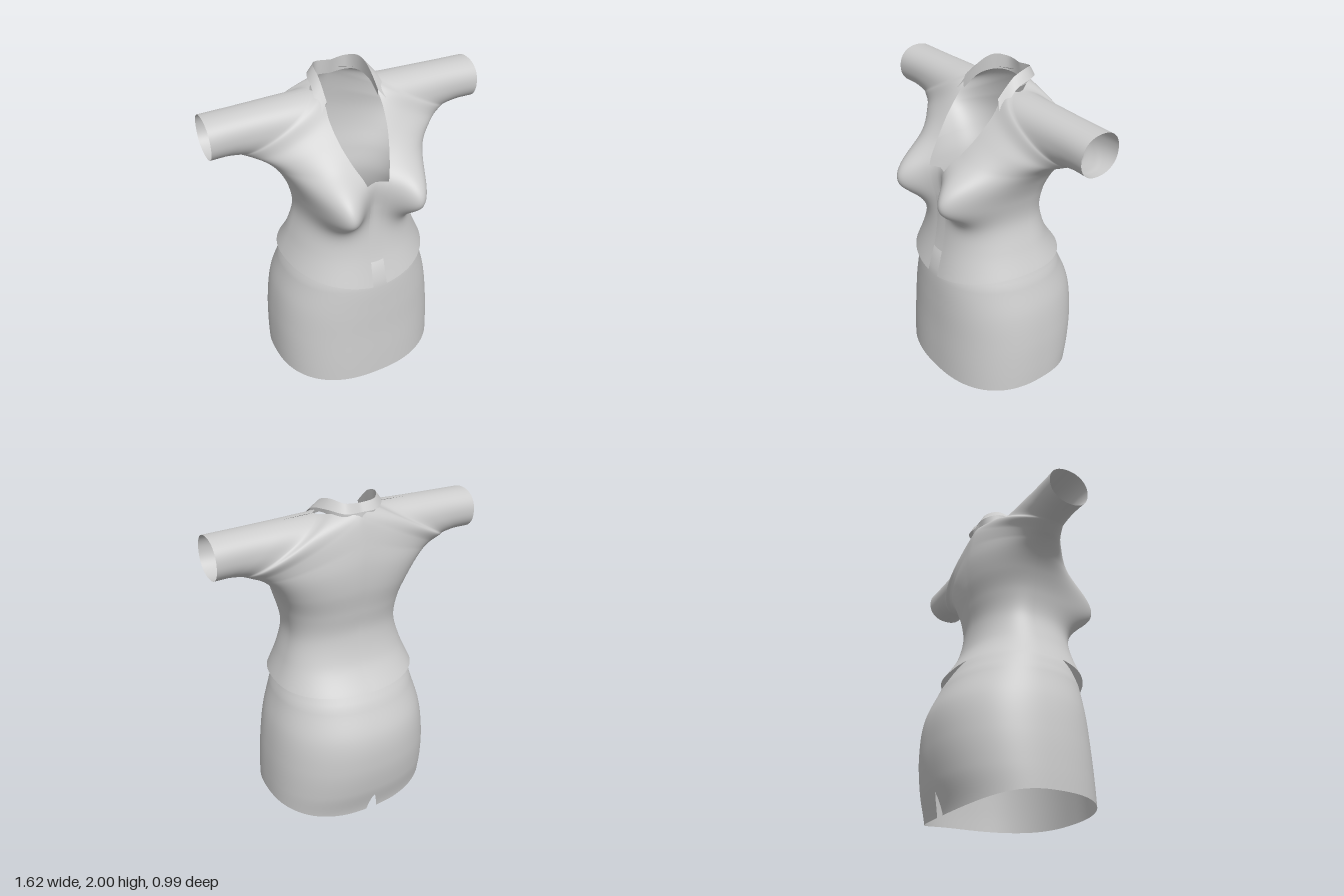
import * as THREE from 'three';
import { mergeGeometries, mergeVertices } from 'three/addons/utils/BufferGeometryUtils.js';

const fabric = new THREE.MeshStandardMaterial({ color: 0xcccccc, side: THREE.DoubleSide });
fabric.name = 'light grey fabric';

// Jacket ribs from hem to cuff. Outer ends follow the side seam and underarm: x, y, z
const SEAM = [
  [0.444, 0.88, 0], [0.385, 1.02, 0], [0.34, 1.18, 0], [0.36, 1.33, 0], [0.41, 1.45, -0.02],
  [0.47, 1.535, -0.03], [0.53, 1.585, -0.035], [0.58, 1.61, -0.04], [0.63, 1.635, -0.045],
  [0.66, 1.645, -0.045], [0.73, 1.655, -0.045], [0.77, 1.655, -0.045], [0.81, 1.655, -0.045],
];
// Shoulder line shared by front and back: x, y, depth, start of the arc (-1 = closed)
const SHOULDER = [[0.2, 1.905, 0.14, -1], [0.4, 1.9, 0.13, -1], [0.6, 1.895, 0.127, -1], [0.81, 1.89, 0.13, -1]];
// Front opening and centre back, same columns
const FRONT = [
  [0.045, 0.8, 0.445, 0], [0.04, 1.0, 0.39, 0], [0.04, 1.18, 0.36, 0], [0.04, 1.32, 0.35, 0],
  [0.065, 1.49, 0.38, 0], [0.115, 1.6, 0.31, 0], [0.15, 1.7, 0.24, -0.2], [0.165, 1.8, 0.18, -0.55],
  [0.16, 1.89, 0.155, -0.9], ...SHOULDER,
];
const BACK = [
  [0, 0.865, -0.365, 0], [0, 1.02, -0.27, 0], [0, 1.2, -0.23, 0], [0, 1.35, -0.245, 0],
  [0, 1.5, -0.25, 0], [0, 1.64, -0.245, 0], [0, 1.77, -0.225, 0], [0, 1.9, -0.195, -0.3],
  [0.12, 1.92, -0.17, -0.75], ...SHOULDER.map(([x, y, d, a]) => [x, y, -d, a]),
];

// Smooth interpolation of one column through a table's rows
function spline(rows, col, s) {
  const n = rows.length - 1, i = Math.min(Math.floor(s), n - 1), t = s - i;
  const v = k => rows[Math.max(0, Math.min(n, k))][col];
  const m0 = (v(i + 1) - v(i - 1)) / 2, m1 = (v(i + 2) - v(i)) / 2, d = v(i + 1) - v(i);
  return v(i) + t * (m0 + t * (3 * d - 2 * m0 - m1 + t * (m0 + m1 - 2 * d)));
}
const spow = (v, e) => Math.sign(v) * Math.pow(Math.abs(v), e);

// Grid surface from point(u, v)
function grid(point, nu, nv, flip = false, mirror = false) {
  const pos = [], idx = [];
  for (let i = 0; i <= nu; i++) for (let j = 0; j <= nv; j++) {
    const [x, y, z] = point(i / nu, j / nv);
    pos.push(mirror ? -x : x, y, z);
  }
  for (let i = 0; i < nu; i++) for (let j = 0; j < nv; j++) {
    const a = i * (nv + 1) + j, b = a + 1, c = a + nv + 1, d = c + 1;
    if (flip !== mirror) idx.push(a, c, b, b, c, d);
    else idx.push(a, b, c, b, d, c);
  }
  const g = new THREE.BufferGeometry();
  g.setAttribute('position', new THREE.Float32BufferAttribute(pos, 3));
  g.setIndex(idx);
  return g;
}

function makeMesh(name, pieces) {
  const g = mergeVertices(mergeGeometries(pieces), 1e-4);
  g.computeVertexNormals();
  const mesh = new THREE.Mesh(g, fabric);
  mesh.name = name;
  return mesh;
}

// Point on the jacket: s runs along the ribs, u from the inner edge to the seam
const P = 2.2;
function jacketPoint(table, s, u, closed) {
  const a = Math.max(-1, Math.min(0, spline(table, 3, s)));
  const th0 = Math.asin(spow(a, P / 2));
  const th = th0 + (Math.PI / 2 - th0) * u;
  const v = spow(Math.sin(th), 2 / P);
  const k = (v - a) / (1 - a);
  const ix = closed ? 0 : Math.max(0, spline(table, 0, s));
  const x = ix + (spline(SEAM, 0, s) - ix) * k;
  const iy = spline(table, 1, s), y = iy + (spline(SEAM, 1, s) - iy) * k;
  let z = spline(SEAM, 2, s) + spline(table, 2, s) * Math.pow(Math.max(0, Math.cos(th)), 2 / P);
  if (table === FRONT) {
    // Bust
    const dx = (x - 0.23) / 0.095, dy = (y - 1.36) / (y > 1.36 ? 0.125 : 0.095);
    z += 0.205 * Math.exp(-(dx * dx + dy * dy) / 2) * (1 - Math.pow(Math.abs(v), 8));
  }
  return [x, y, z];
}

function bodice(name, s0, s1, rows, scale, closed) {
  const pieces = [];
  for (const mirror of [false, true]) for (const table of [FRONT, BACK]) {
    const point = (t, u) => {
      const [x, y, z] = jacketPoint(table, s0 + (s1 - s0) * t, u, closed);
      return [x * scale, y, z * scale];
    };
    pieces.push(grid(point, rows, 36, table === BACK, mirror));
  }
  return makeMesh(name, pieces);
}

// Collar: neck base, fold and outer edge, from centre back to the front tip
function collar() {
  const paths = [
    [[0, 1.89, -0.21], [0.09, 1.9, -0.2], [0.14, 1.91, -0.14], [0.155, 1.9, -0.03], [0.16, 1.84, 0.07]],
    [[0, 1.975, -0.2], [0.09, 1.985, -0.2], [0.14, 2.0, -0.13], [0.15, 1.97, -0.03], [0.155, 1.88, 0.075]],
    [[0, 1.93, -0.225], [0.1, 1.935, -0.225], [0.175, 1.95, -0.14], [0.2, 1.92, -0.01], [0.22, 1.8, 0.11]],
  ];
  const at = (k, t) => [0, 1, 2].map(c => spline(paths[k], c, t * 4));
  const strip = (k, mirror) => grid((t, u) => {
    const a = at(k, t), b = at(k + 1, t);
    return a.map((v, c) => v + (b[c] - v) * u);
  }, 24, 4, false, mirror);
  const group = new THREE.Group();
  group.name = 'collar';
  ['collarStand', 'collarLeaf'].forEach((name, k) =>
    group.add(makeMesh(name, [strip(k, false), strip(k, true)])));
  return group;
}

// Skirt sections: y, half width, front z, back z
const SKIRT = [
  [0, 0.535, 0.46, -0.4], [0.2, 0.533, 0.455, -0.45], [0.4, 0.522, 0.447, -0.475],
  [0.6, 0.495, 0.442, -0.46], [0.8, 0.44, 0.432, -0.375], [0.9, 0.4, 0.4, -0.31], [1.0, 0.345, 0.345, -0.24],
];
function skirtAt(col, y) {
  const s = y < 0.8 ? y / 0.2 : 4 + (y - 0.8) / 0.1;
  return spline(SKIRT, col, Math.max(0, s));
}
function skirt() {
  const point = (t, u) => {
    const h = Math.pow(t, 1.4);
    // Back slit narrowing upward
    const gap = 0.036 * Math.pow(Math.max(0, 1 - h / 0.13), 0.6);
    const p = 2.4 - 0.3 * h;
    const start = Math.asin(Math.pow(gap / 0.53, p / 2));
    const th = start + (2 * Math.PI - 2 * start) * u;
    const c = Math.cos(th), s = Math.abs(Math.sin(th)) < 1e-9 ? 0 : Math.sin(th);
    const hem = 0.078 - (c > 0 ? 0.074 : 0.023) * c * c;
    const y = hem + (0.95 - hem) * h;
    const depth = Math.abs(skirtAt(c > 0 ? 3 : 2, y));
    return [skirtAt(1, y) * spow(s, 2 / p), y, -depth * spow(c, 2 / p)];
  };
  return makeMesh('skirt', [grid(point, 48, 120, true)]);
}

export function createModel() {
  const group = new THREE.Group();
  group.name = 'jacketAndSkirt';
  group.add(
    bodice('jacket', 0, SEAM.length - 1, 96, 1, false),
    bodice('innerTop', 0.75, 4, 32, 0.97, true),
    collar(),
    skirt(),
  );
  return group;
}
